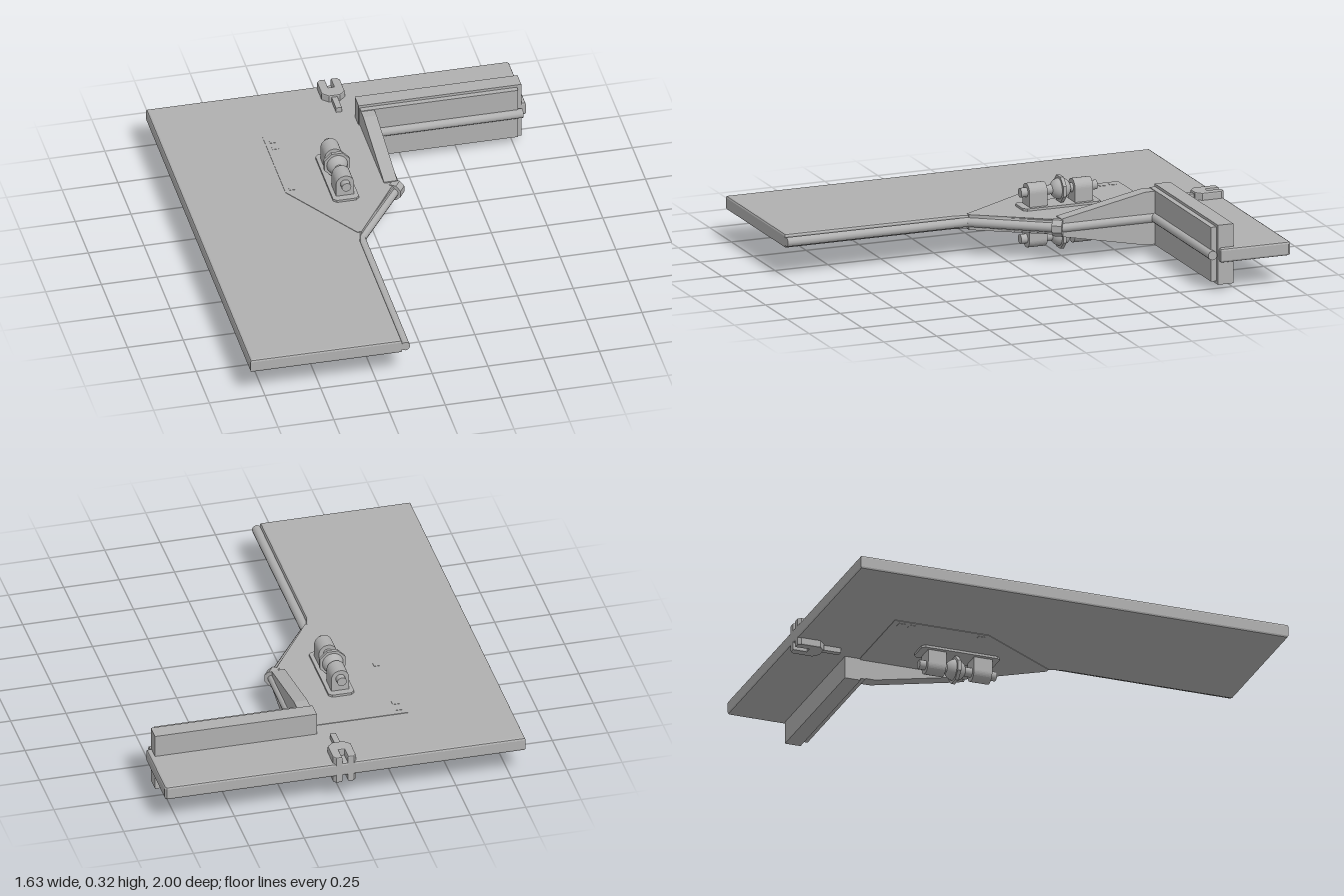
import * as THREE from 'three';

const MID = 0.17; // height of the mirror plane running through the panel

export function createModel() {
  const model = new THREE.Group();
  const grey = new THREE.MeshStandardMaterial({ color: 0xb0b0b0 });
  grey.name = 'grey';

  const add = (parent, name, geo, x = 0, y = 0, z = 0) => {
    const m = new THREE.Mesh(geo, grey);
    m.name = name;
    m.position.set(x, y, z);
    parent.add(m);
    return m;
  };
  const box = (parent, name, x0, x1, y0, y1, z0, z1) =>
    add(parent, name, new THREE.BoxGeometry(x1 - x0, y1 - y0, z1 - z0),
      (x0 + x1) / 2, (y0 + y1) / 2, (z0 + z1) / 2);
  const shapeOf = (pts) => new THREE.Shape(pts.map(([a, b]) => new THREE.Vector2(a, b)));

  // Slab from an (x, z) outline, centred on the mid plane
  const slab = (parent, name, pts, height, bevel = 0) => {
    const geo = new THREE.ExtrudeGeometry(shapeOf(pts.map(([x, z]) => [x, -z])), {
      depth: height - 2 * bevel, bevelEnabled: bevel > 0, bevelThickness: bevel,
      bevelSize: bevel, bevelOffset: -bevel, bevelSegments: 2, curveSegments: 8,
    });
    geo.rotateX(-Math.PI / 2);
    return add(parent, name, geo, 0, MID - height / 2 + bevel, 0);
  };

  // Wide L-shaped plate
  slab(model, 'mainPlate', [
    [-0.815, -1], [0.805, -1], [0.812, -0.99], [0.812, -0.67], [0.125, -0.67],
    [0.125, -0.2], [-0.12, 0.145], [-0.135, 0.2], [-0.135, 1], [-0.815, 1],
  ], 0.064, 0.01);

  // Slightly raised hub panel with small square pads
  slab(model, 'hubPanel', [
    [-0.37, -0.67], [0.1, -0.67], [0.1, -0.18], [-0.115, 0.14], [-0.135, 0.14], [-0.37, -0.23],
  ], 0.069);
  for (const z of [-0.628, -0.578, -0.255]) {
    box(model, 'squarePad', -0.35, -0.32, 0.134, 0.206, z - 0.015, z + 0.015);
  }

  // Rounded bead along the inner edge
  const bead = [[-0.12, 1], [-0.12, 0.145], [0.12, -0.195], [0.12, -0.64], [0.79, -0.64]]
    .map(([x, z]) => new THREE.Vector3(x, MID, z));
  for (let i = 0; i < bead.length - 1; i++) {
    const a = bead[i], b = bead[i + 1], d = b.clone().sub(a);
    const rod = add(model, 'edgeBead', new THREE.CylinderGeometry(0.021, 0.021, d.length(), 12));
    rod.position.copy(a).add(b).multiplyScalar(0.5);
    rod.quaternion.setFromUnitVectors(new THREE.Vector3(0, 1, 0), d.normalize());
    if (i > 0) add(model, 'beadJoint', new THREE.SphereGeometry(0.021, 12, 8), a.x, a.y, a.z);
  }

  // Upright flap crossing the plate, with a stepped front
  box(model, 'flapBack', 0.06, 0.79, 0.035, 0.305, -0.738, -0.665);
  box(model, 'flapFront', 0.065, 0.77, 0.047, 0.293, -0.67, -0.64);

  // Tapered fin running forward from the flap
  const finGeo = new THREE.ExtrudeGeometry(shapeOf([
    [0.67, MID + 0.12], [0.595, MID + 0.12], [0.2, MID + 0.04],
    [0.2, MID - 0.04], [0.595, MID - 0.12], [0.67, MID - 0.12],
  ]), { depth: 0.06, bevelEnabled: false });
  finGeo.rotateY(Math.PI / 2);
  add(model, 'taperedFin', finGeo, 0.065, 0, 0);

  // Knob at the tip of the fin, turned along the diagonal edge
  const knob = add(model, 'finKnob', new THREE.CylinderGeometry(0.04, 0.04, 0.045, 8)
    .rotateY(Math.PI / 8).rotateX(Math.PI / 2).toNonIndexed(), 0.11, MID, -0.19);
  knob.geometry.computeVertexNormals();
  knob.rotation.y = -0.6;

  // Clip on the back edge: slotted head and narrow stem
  slab(model, 'clipHead', [
    [-0.052, -0.985], [-0.04, -1], [-0.013, -1], [-0.013, -0.935], [0.013, -0.935],
    [0.013, -1], [0.04, -1], [0.052, -0.985], [0.052, -0.895], [0.025, -0.87],
    [-0.025, -0.87], [-0.052, -0.895],
  ], 0.13, 0.006);
  box(model, 'clipStem', -0.013, 0.013, 0.115, 0.225, -0.88, -0.785);

  // Mounts with bearing blocks, pin, ball and ring, above and below the plate
  const X = -0.125, Z = -0.285, PIN = 0.105;
  for (const side of [1, -1]) {
    const mount = new THREE.Group();
    mount.name = side > 0 ? 'upperMount' : 'lowerMount';
    mount.position.set(X, MID, Z);
    if (side < 0) mount.rotation.z = Math.PI;
    model.add(mount);

    // Base with cut corners
    const w = 0.058, l = 0.183, c = 0.015;
    const base = new THREE.ExtrudeGeometry(shapeOf([
      [-w, -l + c], [-w + c, -l], [w - c, -l], [w, -l + c],
      [w, l - c], [w - c, l], [-w + c, l], [-w, l - c],
    ]), { depth: 0.045, bevelEnabled: false });
    add(mount, 'mountBase', base.rotateX(-Math.PI / 2));

    // Arched bearing blocks
    const arch = new THREE.Shape();
    arch.moveTo(-0.04, 0.03);
    arch.lineTo(0.04, 0.03);
    arch.lineTo(0.04, PIN);
    arch.absarc(0, PIN, 0.04, 0, Math.PI, false);
    arch.closePath();
    for (const z of [-0.15, 0.065]) {
      add(mount, 'bearingBlock', new THREE.ExtrudeGeometry(arch,
        { depth: 0.085, bevelEnabled: false, curveSegments: 10 }), 0, 0, z);
    }

    // Pin through both blocks, with the ball and its eight-sided ring
    add(mount, 'pin', new THREE.CylinderGeometry(0.021, 0.021, 0.36, 16)
      .rotateX(Math.PI / 2), 0, PIN, 0);
    add(mount, 'ball', new THREE.SphereGeometry(0.048, 20, 14), 0, PIN, -0.01);
    const ring = new THREE.CylinderGeometry(0.062, 0.062, 0.016, 8)
      .rotateY(Math.PI / 8).rotateX(Math.PI / 2).toNonIndexed();
    ring.computeVertexNormals();
    add(mount, 'ballRing', ring, 0, PIN, -0.01);
  }

  return model;
}
